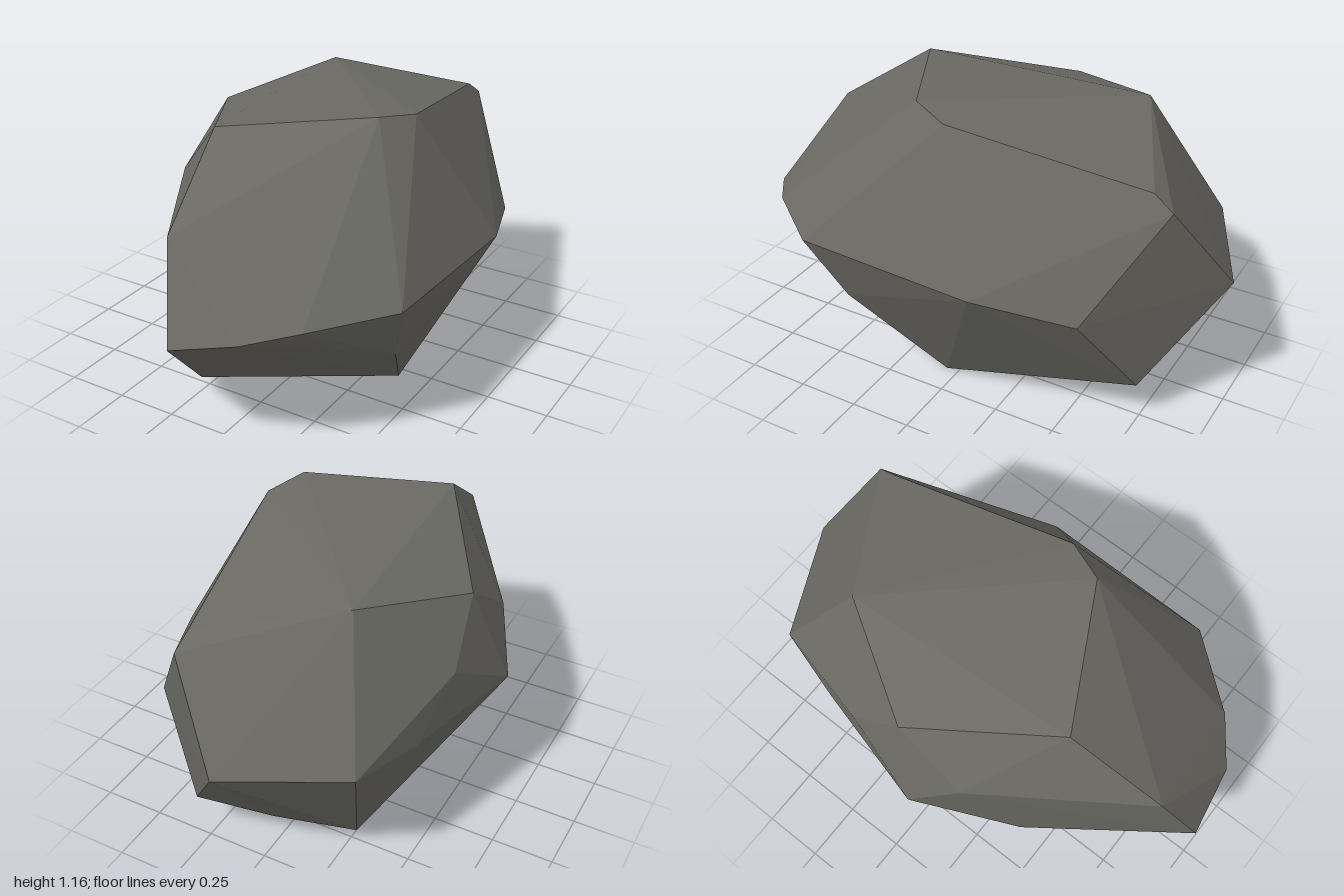
import * as THREE from 'three';
import { ConvexGeometry } from 'three/addons/geometries/ConvexGeometry.js';

export function createModel() {
  const group = new THREE.Group();
  group.name = 'boulder';

  const stone = new THREE.MeshStandardMaterial({ color: 0x6a6963 });
  stone.name = 'darkStone';

  // Corners of the faceted rock, in rings from the crown to the base
  const crown = [
    [-0.2, 1.11, 0.46], [0.33, 1.16, 0.18], [0.4, 1.135, 0.02],
    [0.26, 1.0, -0.75], [0.27, 0.945, -0.83], [-0.26, 1.1, -0.5], [-0.525, 1.0, -0.07],
  ];
  const shoulder = [[-0.13, 0.845, 0.85], [-0.54, 0.785, 0.22], [-0.56, 0.787, -0.28]];
  const waist = [
    [-0.04, 0.49, 1.0], [0.225, 0.565, 0.95], [0.4, 0.6, 0.815], [0.63, 0.61, 0.53],
    [0.65, 0.595, -0.22], [0.525, 0.535, -0.6], [0.04, 0.58, -1.0],
    [-0.42, 0.6, -0.78], [-0.51, 0.574, -0.48], [-0.65, 0.585, 0.04],
  ];
  const base = [
    [0.54, 0.345, 0.4], [-0.4, 0.235, 0.41], [0.375, 0, 0.05], [-0.25, 0.06, 0.55],
    [-0.28, 0.06, -0.51], [0.02, 0.11, -0.64], [0.3, 0.18, -0.75],
  ];

  const corners = [...crown, ...shoulder, ...waist, ...base].map((p) => new THREE.Vector3(...p));
  const rock = new THREE.Mesh(new ConvexGeometry(corners), stone);
  rock.name = 'rock';
  group.add(rock);
  return group;
}
